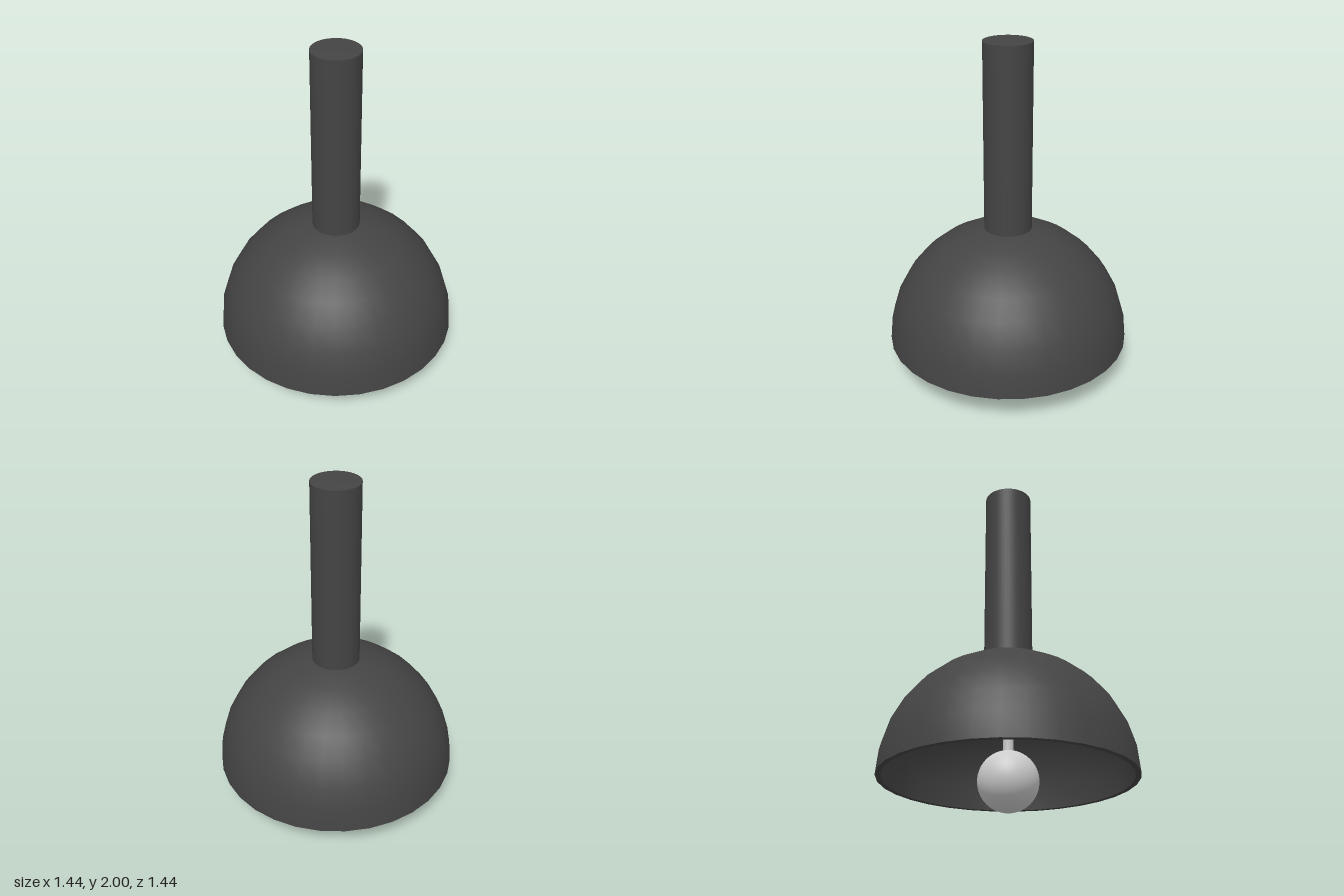
import * as THREE from 'three';
import { toCreasedNormals } from 'three/addons/utils/BufferGeometryUtils.js';

const dark = new THREE.MeshStandardMaterial({ color: 0x444444 });
const grey = new THREE.MeshStandardMaterial({ color: 0xcccccc });

const RIM_Y = 0.18, OUTER = 0.72, INNER = 0.69;

// Quarter circle in the lathe plane, from the axis down to the rim
function quarterArc(radius, steps = 8) {
  return Array.from({ length: steps + 1 }, (_, i) => {
    const a = (i / steps) * Math.PI / 2;
    return new THREE.Vector2(radius * Math.sin(a), RIM_Y + radius * Math.cos(a));
  });
}

function lathe(points, segments) {
  return toCreasedNormals(new THREE.LatheGeometry(points, segments), Math.PI / 6);
}

export function createModel() {
  const group = new THREE.Group();
  const add = (name, geometry, material, y = 0) => {
    const mesh = new THREE.Mesh(geometry, material);
    mesh.name = name;
    mesh.position.y = y;
    group.add(mesh);
  };

  // Hollow dome: inner shell, flat lip, outer shell
  add('shade', lathe([...quarterArc(INNER), ...quarterArc(OUTER).reverse()], 32), dark);

  // Tall stem with a very slightly raised cap
  add('stem', lathe([
    new THREE.Vector2(0.14, 0.88),
    new THREE.Vector2(0.14, 1.99),
    new THREE.Vector2(0, 2),
  ], 64), dark);

  // Thin rod inside the shade carrying the round bulb
  add('bulbRod', new THREE.CylinderGeometry(0.03, 0.03, 0.58, 24), grey, 0.59);
  add('bulb', new THREE.SphereGeometry(0.17, 48, 32), grey, 0.17);

  return group;
}
